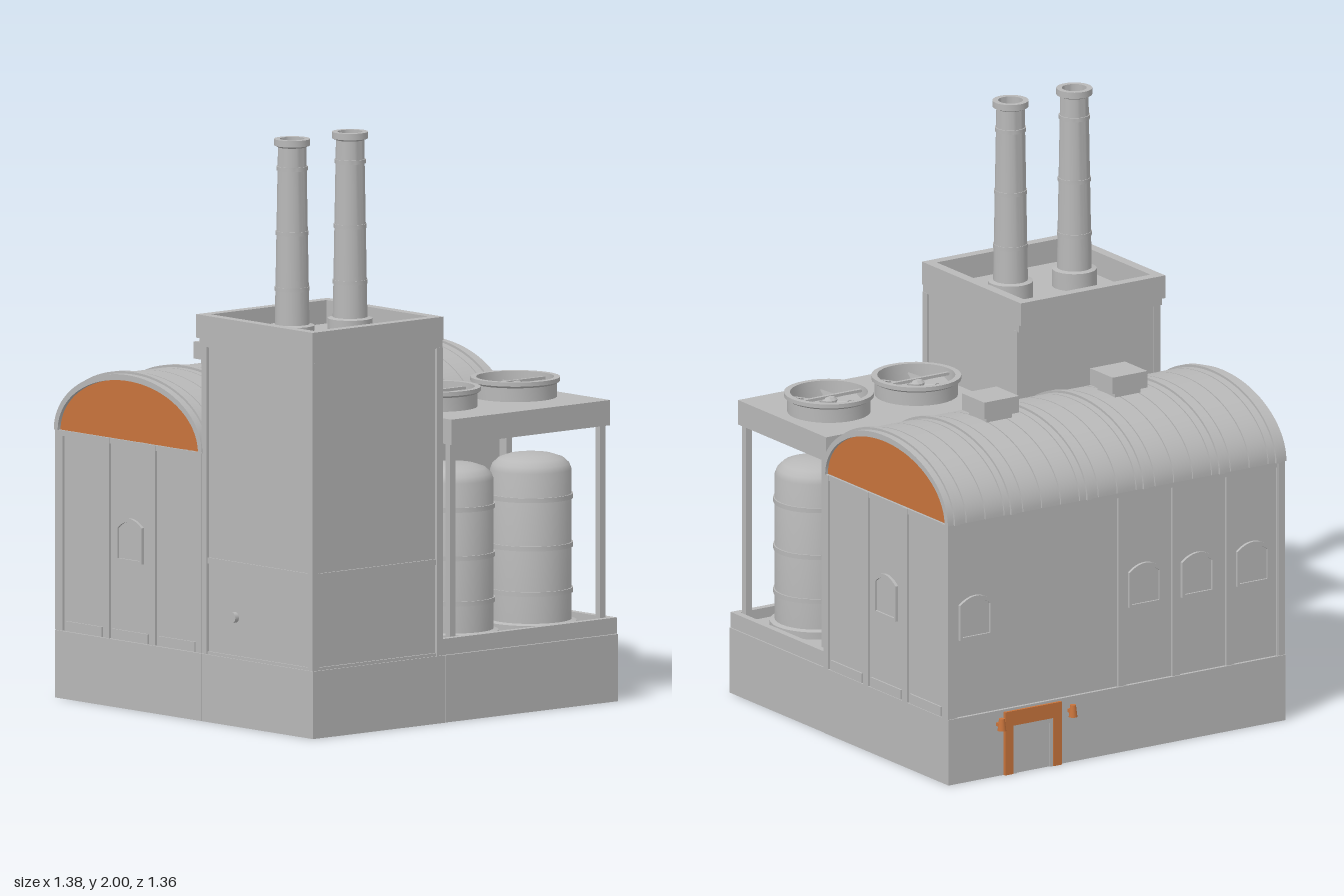
import * as THREE from 'three';
import { toCreasedNormals } from 'three/addons/utils/BufferGeometryUtils.js';

export function createModel() {
  const model = new THREE.Group();
  const grey = new THREE.MeshStandardMaterial({ color: 0xb8b8b8 });
  grey.name = 'concrete grey';
  const orange = new THREE.MeshStandardMaterial({ color: 0xc8743c });
  orange.name = 'rust orange';

  const add = (name, geo, mat = grey, parent = model) => {
    const m = new THREE.Mesh(geo, mat);
    m.name = name;
    parent.add(m);
    return m;
  };
  // box given by its limits
  const box = (name, x0, x1, y0, y1, z0, z1, mat = grey, parent = model) => {
    const m = add(name, new THREE.BoxGeometry(x1 - x0, y1 - y0, z1 - z0), mat, parent);
    m.position.set((x0 + x1) / 2, (y0 + y1) / 2, (z0 + z1) / 2);
    return m;
  };
  const lathe = (name, pts, x, z, parent = model) => {
    const geo = new THREE.LatheGeometry(pts.map(p => new THREE.Vector2(p[0], p[1])), 32);
    const m = add(name, toCreasedNormals(geo, 0.6), grey, parent);
    m.position.set(x, 0, z);
    return m;
  };
  // four walls of a rectangular frame
  const rim = (name, x0, x1, y0, y1, z0, z1, t) => {
    box(name, x0, x1, y0, y1, z0, z0 + t);
    box(name, x0, x1, y0, y1, z1 - t, z1);
    box(name, x0, x0 + t, y0, y1, z0 + t, z1 - t);
    box(name, x1 - t, x1, y0, y1, z0 + t, z1 - t);
  };

  // foundations
  box('hallFoundation', -0.688, 0.685, 0, 0.23, -0.642, 0.107);
  box('towerFoundation', -0.688, -0.097, 0, 0.23, 0.109, 0.68);
  box('yardFoundation', -0.093, 0.683, 0, 0.229, 0.109, 0.678);

  // hall walls with pilasters
  box('hallWalls', -0.678, 0.678, 0.23, 0.915, -0.63, 0.096);
  box('hallTopBand', -0.685, 0.685, 0.895, 0.914, -0.638, 0.104);
  const gablePosts = [[0.08, 0.106], [-0.16, -0.13], [-0.395, -0.365], [-0.641, -0.605]];
  for (const s of [-1, 1]) {
    const x0 = s > 0 ? 0.66 : -0.687, x1 = s > 0 ? 0.687 : -0.66;
    for (const [a, b] of gablePosts) box('gablePilaster', x0, x1, 0.231, 0.913, a, b);
    for (let i = 0; i < 3; i++)
      box('gableSill', s > 0 ? 0.67 : -0.684, s > 0 ? 0.684 : -0.67, 0.231, 0.265,
        gablePosts[i + 1][1] + 0.012, gablePosts[i][0] - 0.012);
  }
  for (const x of [0.65, -0.04, -0.26, -0.48, -0.687])
    box('backPilaster', x, x + 0.03, 0.231, 0.912, -0.64, -0.62);
  for (const x of [-0.1, 0.66]) box('frontPilaster', x, x + 0.026, 0.231, 0.912, 0.09, 0.105);

  // arched windows
  const archShape = (w, h, rise, y = 0, S = THREE.Shape) => {
    const s = new S();
    s.moveTo(-w, y).lineTo(w, y).lineTo(w, h - rise).quadraticCurveTo(0, h + rise, -w, h - rise);
    s.lineTo(-w, y);
    return s;
  };
  const windowAt = (x, y, z, turn) => {
    const g = new THREE.Group();
    g.name = 'window';
    const frame = archShape(0.066, 0.15, 0.026);
    frame.holes.push(archShape(0.056, 0.138, 0.024, 0.01, THREE.Path));
    add('windowFrame', new THREE.ExtrudeGeometry(frame, { depth: 0.012, bevelEnabled: false }), grey, g);
    add('windowPane', new THREE.ExtrudeGeometry(archShape(0.058, 0.14, 0.024, 0.008),
      { depth: 0.005, bevelEnabled: false }), grey, g);
    g.position.set(x, y, z);
    g.rotation.y = turn;
    model.add(g);
  };
  windowAt(0.677, 0.5, -0.263, Math.PI / 2);
  windowAt(-0.677, 0.5, -0.263, -Math.PI / 2);
  for (const x of [0.57, -0.12, -0.335, -0.56]) windowAt(x, 0.5, -0.629, Math.PI);

  // barrel roof: orange core, narrow panels with open seams, raised ribs
  const vault = (name, a, b, x0, x1, hole, mat) => {
    const s = new THREE.Shape();
    s.absellipse(0, 0, a, b, 0, Math.PI, false);
    if (hole) s.absellipse(0, 0, a - hole, b - hole, Math.PI, 0, true);
    const geo = new THREE.ExtrudeGeometry(s, { depth: x1 - x0, bevelEnabled: false, curveSegments: 28 });
    const m = add(name, toCreasedNormals(geo, 0.5), mat);
    m.rotation.y = Math.PI / 2;
    m.position.set(x0, 0.913, -0.265);
  };
  vault('gableCore', 0.366, 0.212, -0.678, 0.678, 0, orange);
  const pitch = 1.384 / 18;
  for (let i = 0; i < 18; i++) {
    const x = -0.693 + i * pitch;
    vault('roofPanel', 0.379, 0.226, x + 0.002, x + pitch - 0.002, 0.02, grey);
  }
  for (const x of [-0.655, -0.425, -0.115, 0.115, 0.425, 0.655])
    vault('roofRib', 0.387, 0.234, x - 0.01, x + 0.01, 0.018, grey);
  for (const x of [-0.263, 0.26]) {
    box('roofVentNeck', x - 0.052, x + 0.052, 1.1, 1.16, -0.32, -0.215);
    box('roofVentCap', x - 0.071, x + 0.071, 1.155, 1.213, -0.335, -0.2);
  }

  // tower with corner posts, mid band and parapet
  box('towerWalls', -0.677, -0.113, 0.23, 1.285, 0.112, 0.668);
  for (const x of [-0.688, -0.131])
    for (const z of [0.109, 0.653]) box('towerPost', x, x + 0.027, 0.231, 1.28, z, z + 0.025);
  box('towerBand', -0.682, -0.108, 0.54, 0.56, 0.115, 0.674);
  box('towerFoot', -0.683, -0.107, 0.23, 0.24, 0.113, 0.675);
  box('towerCornice', -0.688, -0.105, 1.278, 1.305, 0.1, 0.677);
  rim('towerParapet', -0.692, -0.103, 1.305, 1.385, 0.086, 0.681, 0.036);
  for (let i = 0; i < 7; i++) box('louvreSlat', -0.12, -0.1, 0.345 + i * 0.031, 0.36 + i * 0.031, 0.18, 0.4);
  const cover = add('wallPort', new THREE.CylinderGeometry(0.018, 0.018, 0.02, 20));
  cover.rotation.z = Math.PI / 2;
  cover.position.set(-0.683, 0.37, 0.27);

  // chimneys
  for (const x of [-0.525, -0.265]) {
    lathe('chimneyCollar', [[0.076, 1.3], [0.076, 1.365], [0.055, 1.37]], x, 0.387);
    lathe('chimney', [[0.06, 1.3], [0.048, 1.972], [0.061, 1.978], [0.061, 2], [0.042, 2], [0.042, 1.85], [0, 1.85]], x, 0.387);
    for (const [y, r] of [[1.49, 0.059], [1.68, 0.056], [1.9, 0.053]])
      lathe('chimneyBand', [[r - 0.01, y - 0.007], [r, y - 0.007], [r, y + 0.007], [r - 0.01, y + 0.007]], x, 0.387);
  }

  // yard tray, posts and upper deck
  box('trayFloor', -0.095, 0.675, 0.228, 0.25, 0.112, 0.668);
  rim('trayRim', -0.1, 0.682, 0.231, 0.285, 0.11, 0.673, 0.024);
  for (const x of [-0.042, 0.631])
    for (const z of [0.14, 0.62]) box('deckPost', x, x + 0.024, 0.24, 0.95, z, z + 0.025);
  box('upperDeck', -0.057, 0.655, 0.942, 1.028, 0.138, 0.668);

  // cooling fans
  const blade = new THREE.Shape();
  blade.moveTo(0.02, -0.01).lineTo(0.12, -0.022).lineTo(0.12, 0.022).lineTo(0.02, 0.01);
  const bladeGeo = new THREE.ExtrudeGeometry(blade, { depth: 0.004, bevelEnabled: false });
  bladeGeo.rotateX(-Math.PI / 2 + 0.35);
  for (const x of [0.117, 0.473]) {
    const fan = new THREE.Group();
    fan.name = 'coolingFan';
    model.add(fan);
    lathe('fanShroud', [[0.141, 1.026], [0.141, 1.075], [0.152, 1.082], [0.152, 1.096], [0.132, 1.096], [0.128, 1.028]], x, 0.39, fan);
    lathe('fanHub', [[0.028, 1.028], [0.028, 1.07], [0.018, 1.08], [0, 1.083]], x, 0.39, fan);
    for (let i = 0; i < 6; i++) {
      const b = add('fanBlade', bladeGeo, grey, fan);
      b.position.set(x, 1.058, 0.39);
      b.rotation.y = i * Math.PI / 3;
    }
    box('fanBar', x - 0.133, x + 0.133, 1.074, 1.084, 0.384, 0.396, grey, fan);
  }

  // storage tanks
  for (const x of [0.125, 0.475]) {
    const tank = new THREE.Group();
    tank.name = 'tank';
    model.add(tank);
    lathe('tankShell', [[0.138, 0.24], [0.138, 0.79], [0.13, 0.81], [0.11, 0.828], [0.075, 0.84], [0.035, 0.845], [0, 0.846]], x, 0.468, tank);
    lathe('tankFoot', [[0.155, 0.245], [0.155, 0.275], [0.138, 0.28]], x, 0.468, tank);
    for (const y of [0.38, 0.535, 0.7])
      lathe('tankBand', [[0.135, y - 0.008], [0.143, y - 0.008], [0.143, y + 0.008], [0.135, y + 0.008]], x, 0.468, tank);
  }

  // pipes between the hall and the tanks
  const pipe = pts => {
    const path = new THREE.CurvePath();
    const v = pts.map(p => new THREE.Vector3(...p));
    for (let i = 1; i < v.length; i++) path.add(new THREE.LineCurve3(v[i - 1], v[i]));
    add('pipe', new THREE.TubeGeometry(path, 40, 0.011, 10));
  };
  pipe([[0.335, 0.43, 0.09], [0.335, 0.43, 0.235], [0.335, 0.31, 0.245], [0.3, 0.31, 0.3], [0.25, 0.31, 0.38]]);
  pipe([[0.29, 0.36, 0.09], [0.29, 0.36, 0.2], [0.29, 0.31, 0.3], [0.36, 0.31, 0.38]]);
  lathe('valve', [[0, 0.25], [0.02, 0.25], [0.02, 0.33], [0.012, 0.36], [0, 0.36]], 0.3, 0.3);

  // service door on the back
  box('doorJamb', 0.23, 0.264, 0, 0.222, -0.652, -0.63, orange);
  box('doorJamb', 0.426, 0.46, 0, 0.222, -0.652, -0.63, orange);
  box('doorLintel', 0.264, 0.426, 0.17, 0.222, -0.652, -0.63, orange);
  box('doorFrame', 0.264, 0.278, 0, 0.17, -0.65, -0.63);
  box('doorFrame', 0.412, 0.426, 0, 0.17, -0.65, -0.63);
  box('doorFrame', 0.278, 0.412, 0.155, 0.17, -0.65, -0.63);
  box('doorLeaf', 0.278, 0.412, 0, 0.155, -0.645, -0.63);
  for (const x of [0.195, 0.485]) {
    box('lampBracket', x - 0.006, x + 0.006, 0.178, 0.19, -0.668, -0.64, orange);
    const lamp = add('lamp', new THREE.CylinderGeometry(0.01, 0.015, 0.042, 16), orange);
    lamp.position.set(x, 0.188, -0.668);
  }
  return model;
}
